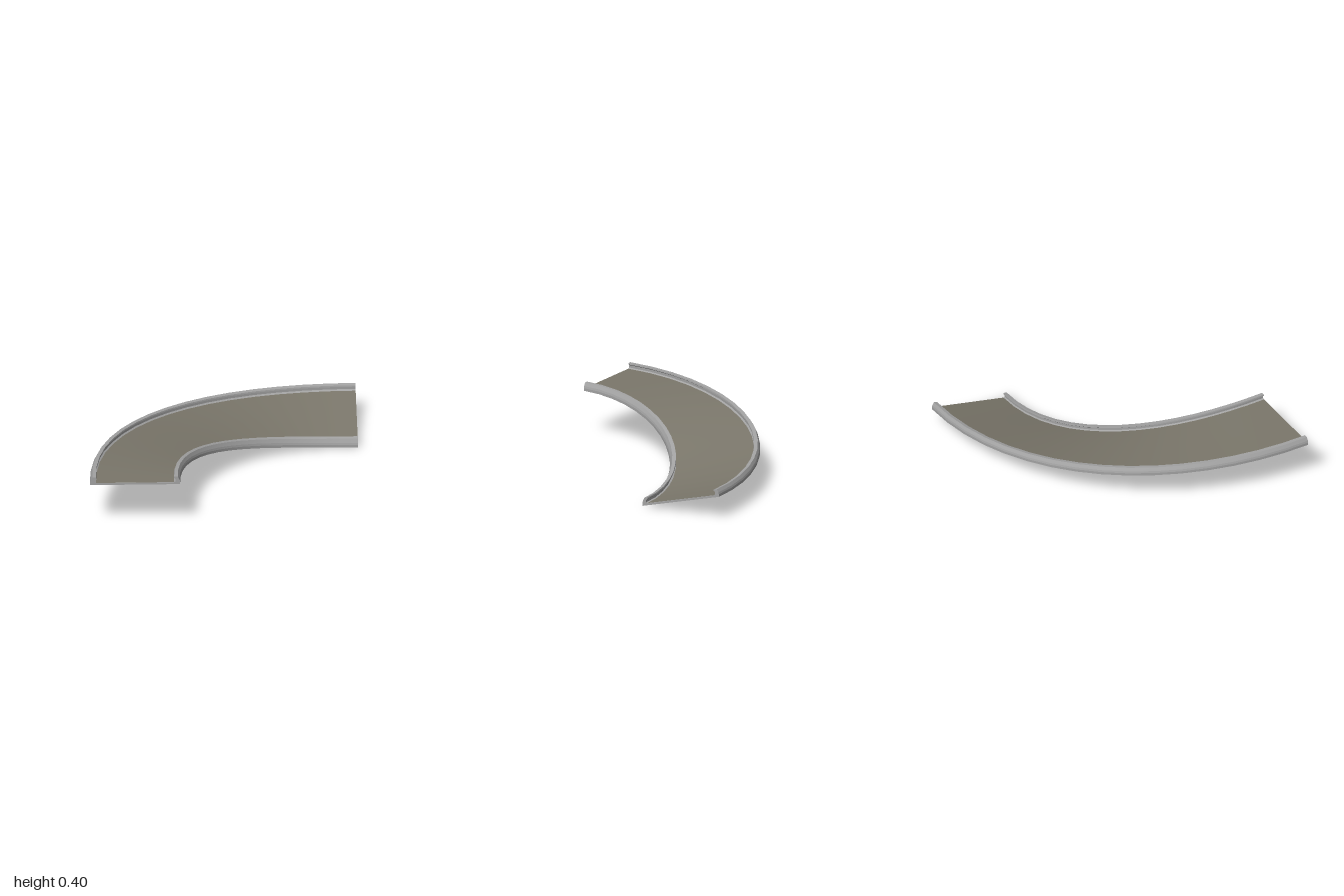
import * as THREE from 'three';

const INNER = 1.34, WIDTH = 0.66, SEGMENTS = 16;
const DROP = 0.34, BANK = 0.17;

// Maps a cross-section point (w across, h up) to the curve at t = 0..1
function place(w, h, t) {
  const angle = t * Math.PI / 2, ease = t * t * (3 - 2 * t), r = INNER + w;
  return [
    1 - r * Math.cos(angle),
    DROP * (1 - ease) + BANK * ease * w / WIDTH + h,
    1 - r * Math.sin(angle),
  ];
}

// Sweeps a profile along the curve: smooth lengthwise, creased between profile edges
function sweep(profile, closed) {
  const positions = [], indices = [];
  const edges = closed ? profile.length : profile.length - 1;
  for (let e = 0; e < edges; e++) {
    const a = profile[e], b = profile[(e + 1) % profile.length];
    const base = positions.length / 3;
    for (let i = 0; i <= SEGMENTS; i++) {
      positions.push(...place(...a, i / SEGMENTS), ...place(...b, i / SEGMENTS));
    }
    for (let i = 0; i < SEGMENTS; i++) {
      const k = base + i * 2;
      indices.push(k, k + 2, k + 1, k + 1, k + 2, k + 3);
    }
  }
  // End caps
  if (closed) {
    const faces = THREE.ShapeUtils.triangulateShape(profile.map(p => new THREE.Vector2(...p)), []);
    for (const t of [0, 1]) {
      const base = positions.length / 3;
      profile.forEach(p => positions.push(...place(...p, t)));
      faces.forEach(([a, b, c]) => indices.push(...(t ? [a, c, b] : [a, b, c]).map(v => v + base)));
    }
  }
  const geometry = new THREE.BufferGeometry();
  geometry.setAttribute('position', new THREE.Float32BufferAttribute(positions, 3));
  geometry.setIndex(indices);
  geometry.computeVertexNormals();
  return geometry;
}

export function createModel() {
  const road = new THREE.MeshStandardMaterial({ color: 0x7b776b, side: THREE.DoubleSide });
  const metal = new THREE.MeshStandardMaterial({ color: 0xa3a3a3, side: THREE.DoubleSide });

  const group = new THREE.Group();
  group.name = 'bankedCurve';
  const add = (name, profile, closed, material) => {
    const mesh = new THREE.Mesh(sweep(profile, closed), material);
    mesh.name = name;
    group.add(mesh);
  };

  // Rail with a small lip overhanging the road, mirrored for the outer side
  const rail = [[0, 0], [0.045, 0], [0.045, 0.017], [0.034, 0.024], [0.034, 0.042],
    [0.046, 0.05], [0.044, 0.06], [0.017, 0.06], [0.004, 0.035], [0, 0.02]];
  add('innerRail', rail, true, metal);
  add('outerRail', rail.map(([w, h]) => [WIDTH - w, h]).reverse(), true, metal);

  // Deck slab between the rails, with the road surface on top
  const left = 0.045, right = WIDTH - 0.045;
  add('deck', [[left, 0], [right, 0], [right, 0.015], [left, 0.015]], true, metal);
  add('roadSurface', [[right, 0.017], [left, 0.017]], false, road);
  return group;
}
